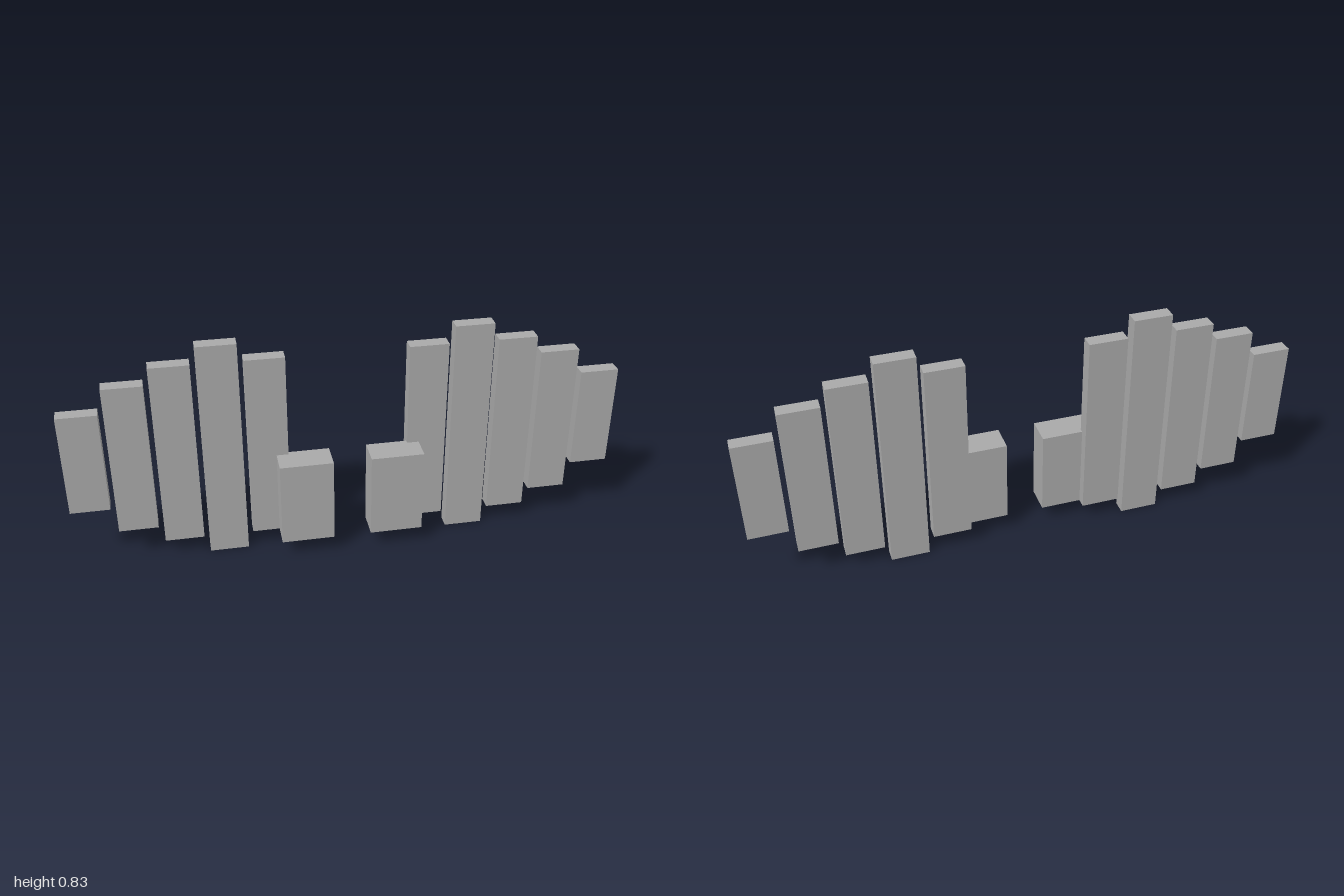
import * as THREE from 'three';

export function createModel() {
  const model = new THREE.Group();
  const grey = new THREE.MeshStandardMaterial({ color: 0xa8a8a8 });
  grey.name = 'grey';

  // Box given by its limits on each axis
  function addBox(parent, name, [x0, x1], [y0, y1], [z0, z1]) {
    const mesh = new THREE.Mesh(new THREE.BoxGeometry(x1 - x0, y1 - y0, z1 - z0), grey);
    mesh.position.set((x0 + x1) / 2, (y0 + y1) / 2, (z0 + z1) / 2);
    mesh.name = name;
    parent.add(mesh);
  }

  // Bottom and top of each slat, from the innermost outwards
  const slats = [[0.067, 0.77], [0, 0.834], [0.067, 0.77], [0.13, 0.706], [0.228, 0.611]];
  const width = 0.141, pitch = 0.1605;

  for (const side of [1, -1]) {
    const wing = new THREE.Group();
    wing.name = side > 0 ? 'leftWing' : 'rightWing';
    const across = (a, b) => (side > 0 ? [a, b] : [-b, -a]);

    // Inner block joining the first slat
    addBox(wing, 'rootBlock', across(0.068, 0.26), [0.067, 0.386], [-0.034, 0.07]);

    // Row of upright slats
    slats.forEach((height, i) => {
      const outer = 1 - (slats.length - 1 - i) * pitch;
      addBox(wing, `slat${i + 1}`, across(outer - width, outer), height, [-0.07, -0.019]);
    });
    model.add(wing);
  }
  return model;
}
